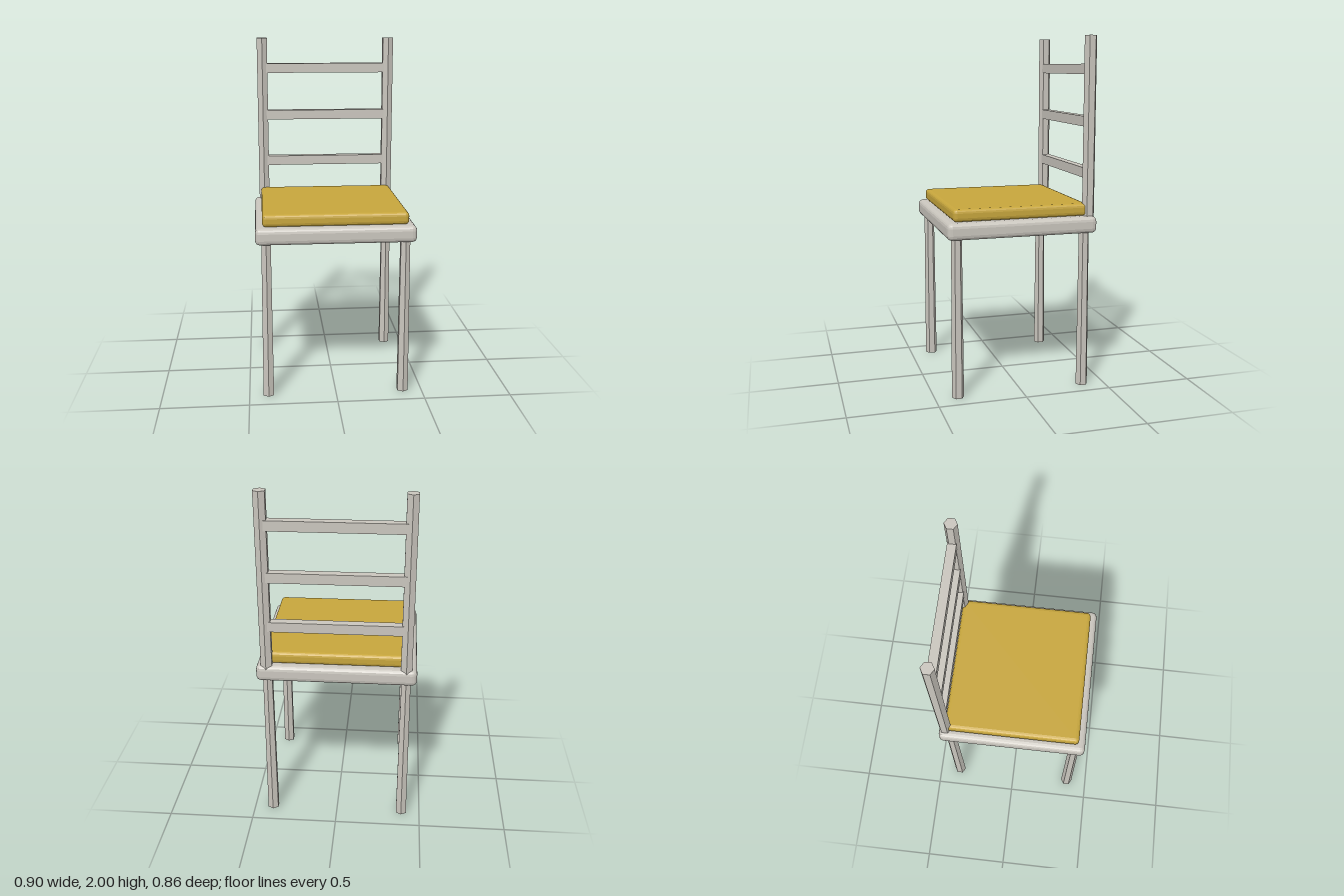
import * as THREE from 'three';
import { RoundedBoxGeometry } from 'three/addons/geometries/RoundedBoxGeometry.js';

export function createModel() {
  const chair = new THREE.Group();
  chair.name = 'chair';

  const frame = new THREE.MeshStandardMaterial({ color: 0xc9c5bd });
  frame.name = 'pale grey wood';
  frame.flatShading = true;
  const fabric = new THREE.MeshStandardMaterial({ color: 0xc6a53c });
  fabric.name = 'mustard fabric';
  fabric.flatShading = true;

  const add = (name, geometry, material, x, y, z) => {
    const mesh = new THREE.Mesh(geometry, material);
    mesh.name = name;
    mesh.position.set(x, y, z);
    chair.add(mesh);
  };

  // Seat board and cushion with softened edges
  add('seat', new RoundedBoxGeometry(0.9, 0.095, 0.86, 2, 0.028), frame, 0, 0.9525, 0);
  add('cushion', new RoundedBoxGeometry(0.82, 0.07, 0.78, 2, 0.022), fabric, 0, 1.035, 0);

  // Six-sided legs, slightly wider at the floor, and back posts
  const leg = new THREE.CylinderGeometry(0.03, 0.035, 0.92, 6);
  const post = new THREE.CylinderGeometry(0.036, 0.036, 1.02, 6);
  for (const side of [1, -1]) {
    const label = side > 0 ? 'left' : 'right';
    add(label + 'FrontLeg', leg, frame, side * 0.39, 0.46, 0.37);
    add(label + 'BackLeg', leg, frame, side * 0.39, 0.46, -0.37);
    add(label + 'BackPost', post, frame, side * 0.39, 1.49, -0.393);
  }

  // Three ladder slats between the posts
  const slat = new THREE.BoxGeometry(0.76, 0.057, 0.05);
  for (let i = 0; i < 3; i++) {
    add('backSlat' + (i + 1), slat, frame, 0, 1.241 + i * 0.288, -0.395);
  }

  return chair;
}
